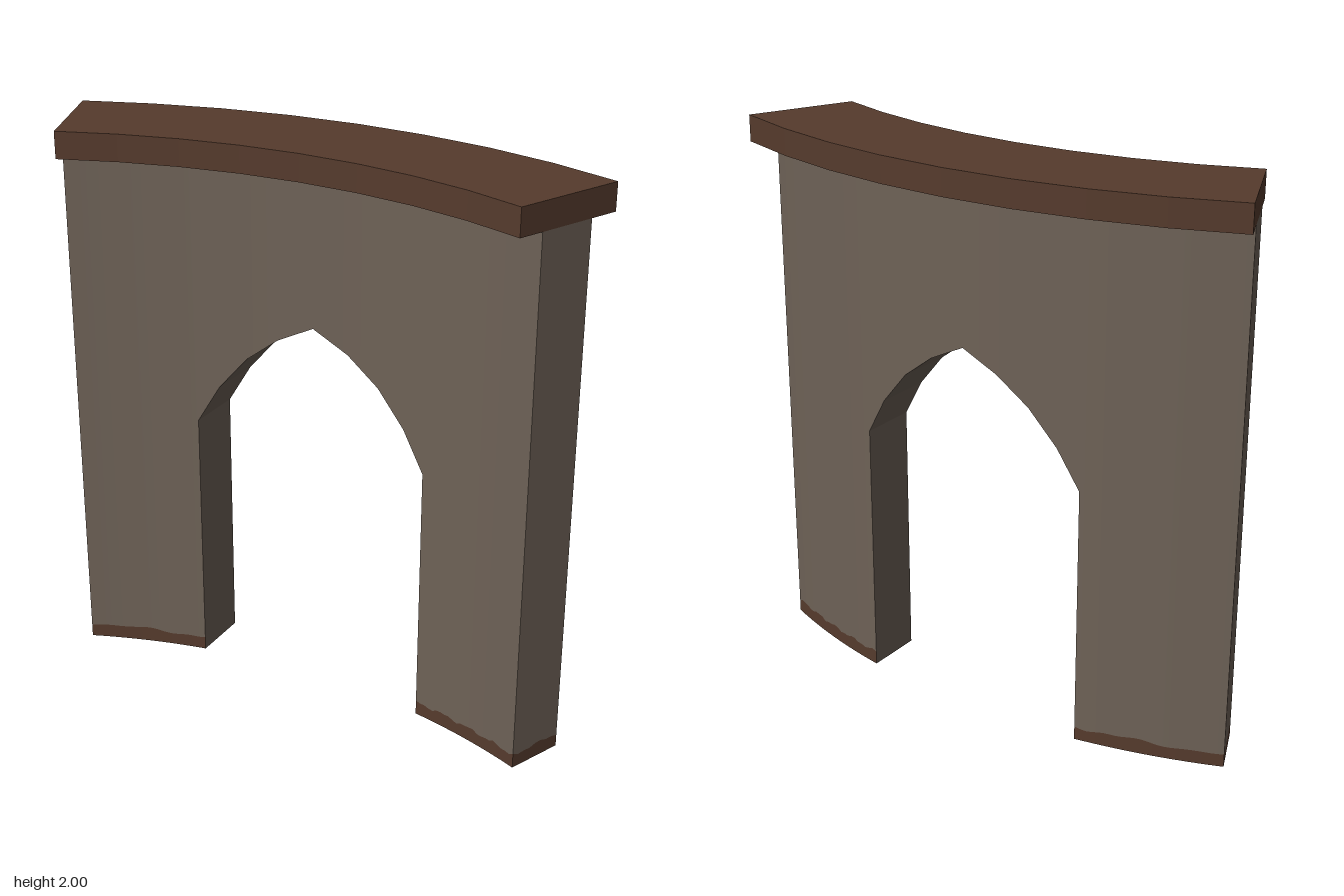
import * as THREE from 'three';

const CZ = 2.3;                        // centre of curvature, in front of the wall
const R_FRONT = 2.275, R_BACK = 2.483; // wall faces
const HALF = Math.PI / 8;              // half of the swept angle
const TOP = 1.905, OPEN = 0.442;
const ARCH = [[0.442, 0.95], [0.36, 1.09], [0.255, 1.212], [0.135, 1.303], [0, 1.37]];

const stone = new THREE.MeshStandardMaterial({ color: 0x6e6257, side: THREE.DoubleSide });
stone.name = 'stone';
const brown = new THREE.MeshStandardMaterial({ color: 0x563b2d, side: THREE.DoubleSide });
brown.name = 'brown';

const zAt = (r, x) => CZ - Math.sqrt(r * r - x * x);
const spread = (a, b, n) => Array.from({ length: n + 1 }, (_, i) => a + (b - a) * i / n);
// wavy upper edge of the base trim
const wave = p => {
  const u = p.x + 1.7 * p.z;
  return 0.05 + 0.005 * Math.sin(37 * u) + 0.003 * Math.sin(83 * u + 1);
};
const archY = p => ARCH.reduce((best, a) =>
  Math.abs(a[0] - Math.abs(p.x)) < Math.abs(best[0] - Math.abs(p.x)) ? a : best)[1];

// points with normals on a curved face, ordered left to right from outside
function curvePoints(r, xs, back) {
  const s = back ? -1 : 1;
  const pts = xs.map(x => {
    const z = zAt(r, x);
    return { x, z, nx: -s * x / r, nz: s * (CZ - z) / r };
  });
  return back ? pts.reverse() : pts;
}

// upright sheet between two height functions
function band(pts, lo, hi) {
  const pos = [], nor = [], idx = [];
  pts.forEach((p, i) => {
    pos.push(p.x, lo(p), p.z, p.x, hi(p), p.z);
    nor.push(p.nx, 0, p.nz, p.nx, 0, p.nz);
    if (i) {
      const a = 2 * i - 2;
      idx.push(a, a + 2, a + 3, a, a + 3, a + 1);
    }
  });
  const g = new THREE.BufferGeometry();
  g.setAttribute('position', new THREE.Float32BufferAttribute(pos, 3));
  g.setAttribute('normal', new THREE.Float32BufferAttribute(nor, 3));
  g.setIndex(idx);
  return g;
}

// flat facets lining the opening, from front face to back face
function openingLining() {
  const left = ARCH.slice(0, -1).map(([x, y]) => [-x, y]);
  const path = [[-OPEN, 0], ...left, ...[...ARCH].reverse(), [OPEN, 0]];
  const pos = [];
  for (let i = 1; i < path.length; i++) {
    const [a, b] = [path[i - 1], path[i]];
    const A = [...a, zAt(R_FRONT, a[0])], B = [...b, zAt(R_FRONT, b[0])];
    const C = [...b, zAt(R_BACK, b[0])], D = [...a, zAt(R_BACK, a[0])];
    pos.push(...A, ...C, ...B, ...A, ...D, ...C);
  }
  const g = new THREE.BufferGeometry();
  g.setAttribute('position', new THREE.Float32BufferAttribute(pos, 3));
  g.computeVertexNormals();
  return g;
}

export function createModel() {
  const group = new THREE.Group();
  group.name = 'archedWall';
  const add = (name, geometry, material) => {
    const m = new THREE.Mesh(geometry, material);
    m.name = name;
    group.add(m);
  };
  const zero = () => 0, top = () => TOP;

  // curved faces: part over the arch, two legs and their base trim
  const archXs = [...ARCH.map(a => -a[0]), ...ARCH.slice(0, -1).reverse().map(a => a[0])];
  for (const [side, r, back] of [['front', R_FRONT, false], ['back', R_BACK, true]]) {
    add(side + 'ArchFace', band(curvePoints(r, archXs, back), archY, top), stone);
    const end = r * Math.sin(HALF);
    for (const [leg, a, b] of [['Left', OPEN, end], ['Right', -end, -OPEN]]) {
      const pts = curvePoints(r, spread(a, b, 24), back);
      add(side + leg + 'LegFace', band(pts, wave, top), stone);
      add(side + leg + 'BaseTrim', band(pts, zero, wave), brown);
    }
    // stains hanging below the coping
    for (const [a, b, depth] of [[-0.5, -0.35, 0.02], [-0.27, 0.03, 0.025], [0.31, 0.38, 0.016]]) {
      const pts = curvePoints(r + (back ? 0.003 : -0.003), spread(a, b, 16), back);
      const low = p => {
        const t = Math.max(0, (p.x - a) * (b - p.x)) / ((b - a) ** 2);
        return TOP - depth * Math.min(1, 7 * t) * (0.9 + 0.15 * Math.sin(70 * p.x));
      };
      add(side + 'Stain', band(pts, low, top), brown);
    }
  }

  // end faces
  for (const [name, s] of [['left', 1], ['right', -1]]) {
    const pts = spread(R_FRONT, R_BACK, 8).map(r => ({
      x: s * r * Math.sin(HALF), z: CZ - r * Math.cos(HALF),
      nx: s * Math.cos(HALF), nz: Math.sin(HALF),
    }));
    if (s < 0) pts.reverse();
    add(name + 'EndFace', band(pts, wave, top), stone);
    add(name + 'EndTrim', band(pts, zero, wave), brown);
  }

  add('openingLining', openingLining(), stone);

  // coping slab along the top
  const angles = spread(-HALF, HALF, 8);
  const ring = (r, list) => list.map(a =>
    new THREE.Vector2(r * Math.sin(a), r * Math.cos(a) - CZ));
  const outline = new THREE.Shape([...ring(2.182, angles), ...ring(2.587, [...angles].reverse())]);
  const slab = new THREE.ExtrudeGeometry(outline, { depth: 2 - TOP, bevelEnabled: false });
  slab.rotateX(-Math.PI / 2).translate(0, TOP, 0);
  add('coping', slab, brown);

  return group;
}
